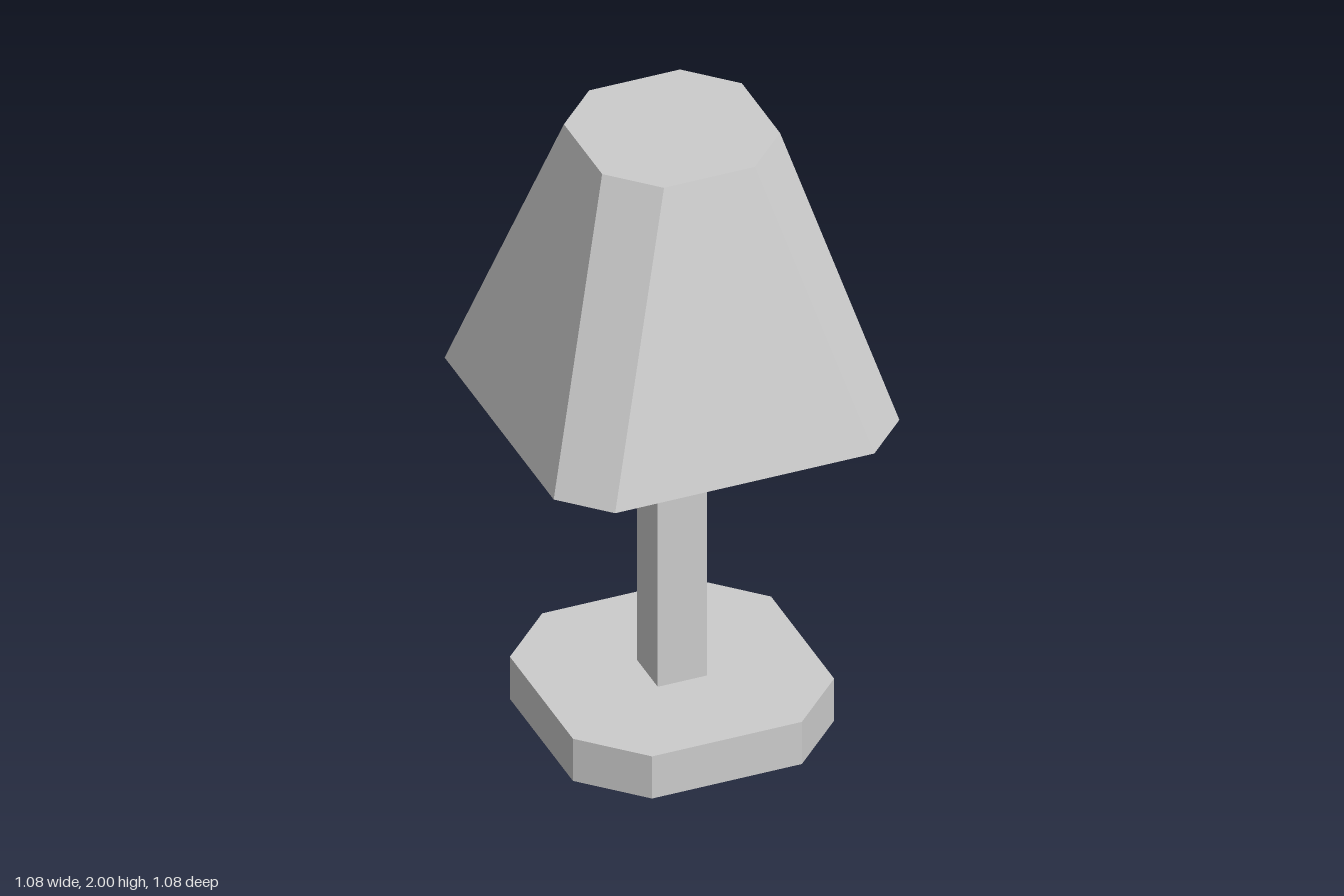
import * as THREE from 'three';

// Square outline with chamfered corners: half = half width, flat = half length of each straight side
function ring(half, flat, y) {
  const pts = [];
  for (let i = 0; i < 4; i++) {
    for (const s of [-flat, flat]) {
      const p = new THREE.Vector3(half, y, -s);
      pts.push(p.applyAxisAngle(new THREE.Vector3(0, 1, 0), (i * Math.PI) / 2));
    }
  }
  return pts;
}

// Closed solid between two chamfered squares
function chamferedSolid(bottom, top) {
  const pos = [];
  const tri = (...pts) => pts.forEach((p) => pos.push(p.x, p.y, p.z));
  const n = bottom.length;
  for (let i = 0; i < n; i++) {
    const j = (i + 1) % n;
    tri(bottom[i], bottom[j], top[j]);
    tri(bottom[i], top[j], top[i]);
    if (i > 0 && j > 0) {
      tri(top[0], top[i], top[j]);
      tri(bottom[0], bottom[j], bottom[i]);
    }
  }
  const geo = new THREE.BufferGeometry();
  geo.setAttribute('position', new THREE.Float32BufferAttribute(pos, 3));
  geo.computeVertexNormals();
  return geo;
}

export function createModel() {
  const lamp = new THREE.Group();
  lamp.name = 'tableLamp';
  const material = new THREE.MeshStandardMaterial({ color: 0xcccccc, flatShading: true });
  const add = (name, geometry) => {
    const mesh = new THREE.Mesh(geometry, material);
    mesh.name = name;
    lamp.add(mesh);
    return mesh;
  };

  const baseTop = 0.145, shadeBottom = 1.105, shadeTop = 2;

  // Octagonal foot
  add('base', chamferedSolid(ring(0.408, 0.234, 0), ring(0.408, 0.234, baseTop)));

  // Square post
  const post = add('post', new THREE.BoxGeometry(0.154, shadeBottom - baseTop, 0.154));
  post.position.y = (baseTop + shadeBottom) / 2;

  // Tapered shade with chamfered corners
  add('shade', chamferedSolid(ring(0.54, 0.405, shadeBottom), ring(0.278, 0.142, shadeTop)));

  return lamp;
}
